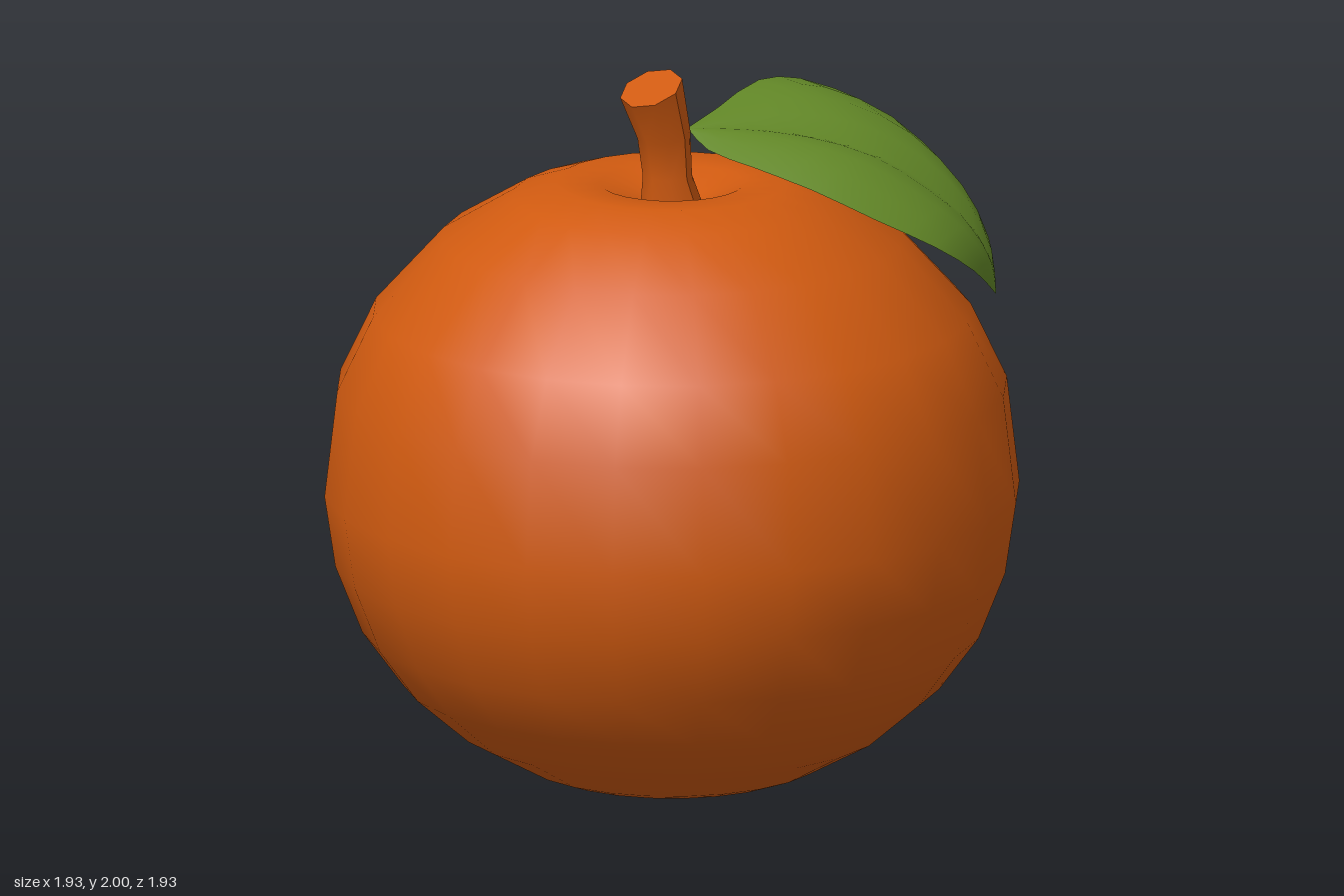
import * as THREE from 'three';

const V = (x, y, z) => new THREE.Vector3(x, y, z);
const mat = (name, color, side = THREE.FrontSide) => {
  const m = new THREE.MeshStandardMaterial({ color, side });
  m.name = name;
  return m;
};

export function createModel() {
  const orange = mat('orange', 0xd05a10);
  const green = mat('leafGreen', 0x628727);
  const group = new THREE.Group();
  group.name = 'fruit';
  const add = (name, geometry, material) => {
    const mesh = new THREE.Mesh(geometry, material);
    mesh.name = name;
    group.add(mesh);
  };

  // Round body with a dimple at the top and a shallow one below
  const profile = [
    [0, 0.03], [0.12, 0.015], [0.24, 0], [0.36, 0.008], [0.42, 0.03], [0.6, 0.13],
    [0.75, 0.26], [0.86, 0.41], [0.935, 0.6], [0.965, 0.8], [0.93, 1.1], [0.83, 1.31],
    [0.64, 1.52], [0.44, 1.64], [0.32, 1.68], [0.2, 1.675], [0.1, 1.63], [0, 1.59],
  ].map(([r, y]) => new THREE.Vector2(r, y));
  add('body', new THREE.LatheGeometry(profile, 24), orange);

  // Leaning stem with a slanted top: [centre x, centre y, radius, slope]
  const rings = [[0.01, 1.56, 0.1, 0], [-0.02, 1.7, 0.07, 0], [-0.035, 1.82, 0.075, 0.2], [-0.09, 1.963, 0.088, 0.42]];
  const stem = new THREE.CylinderGeometry(1, 1, 3, 8, 3);
  const sp = stem.attributes.position;
  for (let i = 0; i < sp.count; i++) {
    const [cx, cy, r, slope] = rings[Math.round(sp.getY(i) + 1.5)];
    const x = sp.getX(i) * r;
    sp.setXYZ(i, cx + x * 0.95, cy + x * slope, sp.getZ(i) * r);
  }
  stem.computeVertexNormals();
  add('stem', stem, orange);

  // Leaf: two edge curves and a midrib running from base to tip
  const base = V(0.03, 1.83, 0.03), tip = V(0.62, 1.34, 0.65);
  const curve = (...pts) => new THREE.CatmullRomCurve3([base, ...pts, tip]);
  const edgeA = curve(V(0.2, 1.85, 0), V(0.4, 1.885, -0.02), V(0.53, 1.87, 0.02),
    V(0.66, 1.79, 0.16), V(0.73, 1.64, 0.34), V(0.715, 1.5, 0.5));
  const edgeB = curve(V(0, 1.79, 0.13), V(0.02, 1.76, 0.28), V(0.08, 1.71, 0.44),
    V(0.18, 1.63, 0.58), V(0.32, 1.54, 0.68), V(0.48, 1.44, 0.69));
  const midrib = curve(V(0.17, 1.82, 0.15), V(0.3, 1.79, 0.28), V(0.42, 1.73, 0.41),
    V(0.52, 1.63, 0.52), V(0.59, 1.52, 0.6), V(0.62, 1.42, 0.64));
  const rows = 14, cols = 8, up = V(0.35, 0.85, 0.35);

  // Point on the leaf; j runs across from edge B over the midrib to edge A
  const leafPoint = (i, j, under) => {
    const t = i / rows, s = (j / cols) * 2 - 1;
    const p = midrib.getPoint(t).lerp((s < 0 ? edgeB : edgeA).getPoint(t), Math.abs(s));
    const belly = Math.sin(Math.PI * t);
    const bulge = 0.05 * Math.sin(Math.PI * Math.abs(s)) * belly;
    const thick = under ? 0.03 * (1 - s * s) * belly : 0;
    return p.addScaledVector(up, bulge - thick);
  };
  const leafSheet = (from, to, under) => {
    const pos = [], index = [], w = cols + 1;
    for (let i = from; i <= to; i++) {
      for (let j = 0; j <= cols; j++) pos.push(...leafPoint(i, j, under).toArray());
    }
    for (let i = 0; i < to - from; i++) {
      for (let j = 0; j < cols; j++) {
        const a = i * w + j, b = a + w;
        if (under) index.push(a, a + 1, b, b, a + 1, b + 1);
        else index.push(a, b, a + 1, b, b + 1, a + 1);
      }
    }
    const g = new THREE.BufferGeometry();
    g.setAttribute('position', new THREE.Float32BufferAttribute(pos, 3));
    g.setIndex(index);
    g.computeVertexNormals();
    return g;
  };
  add('leafTop', leafSheet(0, rows, false), green);
  add('leafUnderside', leafSheet(0, 11, true), green);
  add('leafTipUnderside', leafSheet(11, rows, true), orange);

  return group;
}
